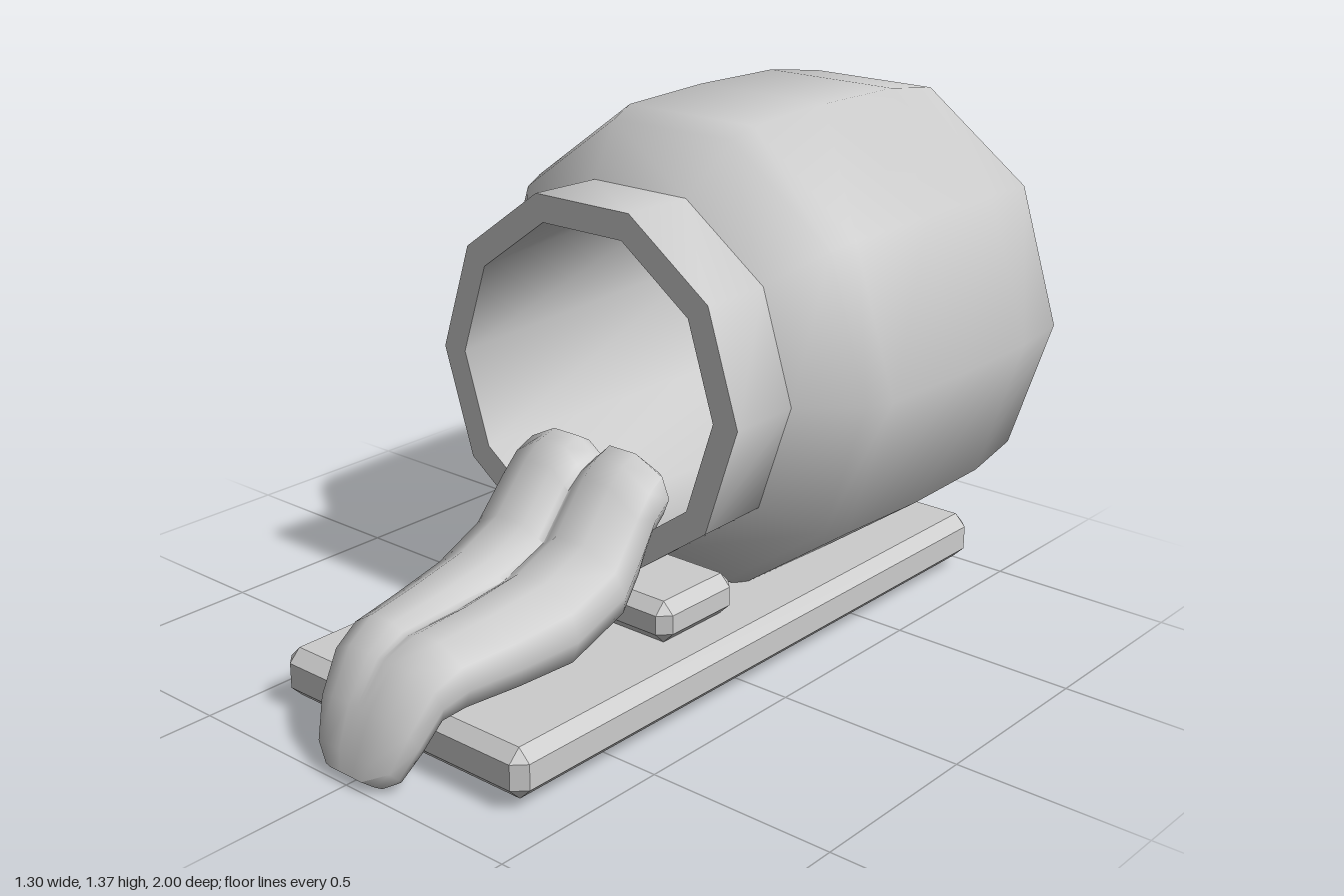
import * as THREE from 'three';
import { toCreasedNormals } from 'three/addons/utils/BufferGeometryUtils.js';
import { ConvexGeometry } from 'three/addons/geometries/ConvexGeometry.js';

const material = new THREE.MeshStandardMaterial({ color: 0xcccccc });

function addPart(group, name, geometry) {
  const mesh = new THREE.Mesh(geometry, material);
  mesh.name = name;
  group.add(mesh);
  return mesh;
}

// Box with all edges and corners cut by c
function chamferBox(w, h, d, c) {
  const points = [];
  for (const sx of [-1, 1]) for (const sy of [-1, 1]) for (const sz of [-1, 1]) {
    for (let axis = 0; axis < 3; axis++) {
      const cut = [0, 1, 2].map((i) => (i === axis ? 0 : c));
      points.push(new THREE.Vector3(
        sx * (w / 2 - cut[0]), sy * (h / 2 - cut[1]), sz * (d / 2 - cut[2])));
    }
  }
  return new ConvexGeometry(points);
}

// Ten-sided hollow shell: [radius, z], outside from back to front, then inside
function barrelGeometry() {
  const profile = [
    [0.615, -1], [0.645, -0.8], [0.65, -0.5], [0.64, -0.21], [0.612, -0.14],
    [0.479, -0.02], [0.483, 0.19], [0.41, 0.19], [0.5, -0.94], [0.615, -1],
  ].map(([r, z]) => new THREE.Vector2(r, z));
  const lathe = new THREE.LatheGeometry(profile, 10, Math.PI / 2);
  lathe.rotateX(Math.PI / 2);
  return toCreasedNormals(lathe, 0.7);
}

// Tongue: grooved cross-sections lofted from inside the mouth to the tip
function tongueGeometry() {
  // [top z, top y, bottom z, bottom y, half width, groove depth]
  const stations = [
    [0.12, 0.585, 0.11, 0.47, 0.2, 0.3],
    [0.15, 0.603, 0.13, 0.44, 0.235, 0.28],
    [0.2, 0.585, 0.19, 0.39, 0.24, 0.25],
    [0.25, 0.545, 0.23, 0.31, 0.243, 0.2],
    [0.35, 0.425, 0.29, 0.235, 0.25, 0.2],
    [0.48, 0.37, 0.47, 0.165, 0.243, 0.18],
    [0.65, 0.343, 0.63, 0.16, 0.22, 0.16],
    [0.8, 0.327, 0.78, 0.16, 0.195, 0.12],
    [0.88, 0.28, 0.84, 0.15, 0.18, 0.04],
    [0.95, 0.18, 0.89, 0.08, 0.16, 0],
    [0.99, 0.08, 0.93, 0.02, 0.13, 0],
    [1.0, 0.03, 0.95, 0.003, 0.09, 0],
  ];
  const half = [[0.06, 0.7], [0.22, 1], [0.58, 1], [0.93, 0.74], [1, 0.4], [0.9, 0.1], [0.5, 0]];
  const ring = [
    [0, null], ...half, [0, 0],
    ...half.slice().reverse().map(([x, v]) => [-x, v]),
  ];
  const n = ring.length;
  const position = [];
  const index = [];
  for (const [zt, yt, zb, yb, hw, groove] of stations) {
    for (const [x, v] of ring) {
      const t = v === null ? 1 - groove : v === 0.7 ? 1 - groove * 0.75 : v;
      position.push(x * hw, yb + (yt - yb) * t, zb + (zt - zb) * t);
    }
  }
  for (let s = 0; s < stations.length - 1; s++) {
    for (let i = 0; i < n; i++) {
      const a = s * n + i, b = s * n + (i + 1) % n;
      index.push(a, a + n, b, b, a + n, b + n);
    }
  }
  // End caps
  [0, stations.length - 1].forEach((s, end) => {
    const [zt, yt, zb, yb] = stations[s];
    const centre = position.length / 3;
    position.push(0, (yt + yb) / 2, (zt + zb) / 2);
    for (let i = 0; i < n; i++) {
      const a = s * n + i, b = s * n + (i + 1) % n;
      if (end) index.push(centre, b, a);
      else index.push(centre, a, b);
    }
  });
  const geometry = new THREE.BufferGeometry();
  geometry.setAttribute('position', new THREE.Float32BufferAttribute(position, 3));
  geometry.setIndex(index);
  return toCreasedNormals(geometry, 1.1);
}

export function createModel() {
  const model = new THREE.Group();
  model.name = 'barrelWithTongue';

  addPart(model, 'base', chamferBox(0.81, 0.13, 1.83, 0.032)).position.set(0, 0.095, -0.07);
  addPart(model, 'supportBlock', chamferBox(0.62, 0.11, 0.28, 0.03)).position.set(0, 0.217, 0.1);
  addPart(model, 'barrel', barrelGeometry()).position.y = 0.757;
  addPart(model, 'tongue', tongueGeometry());

  return model;
}
